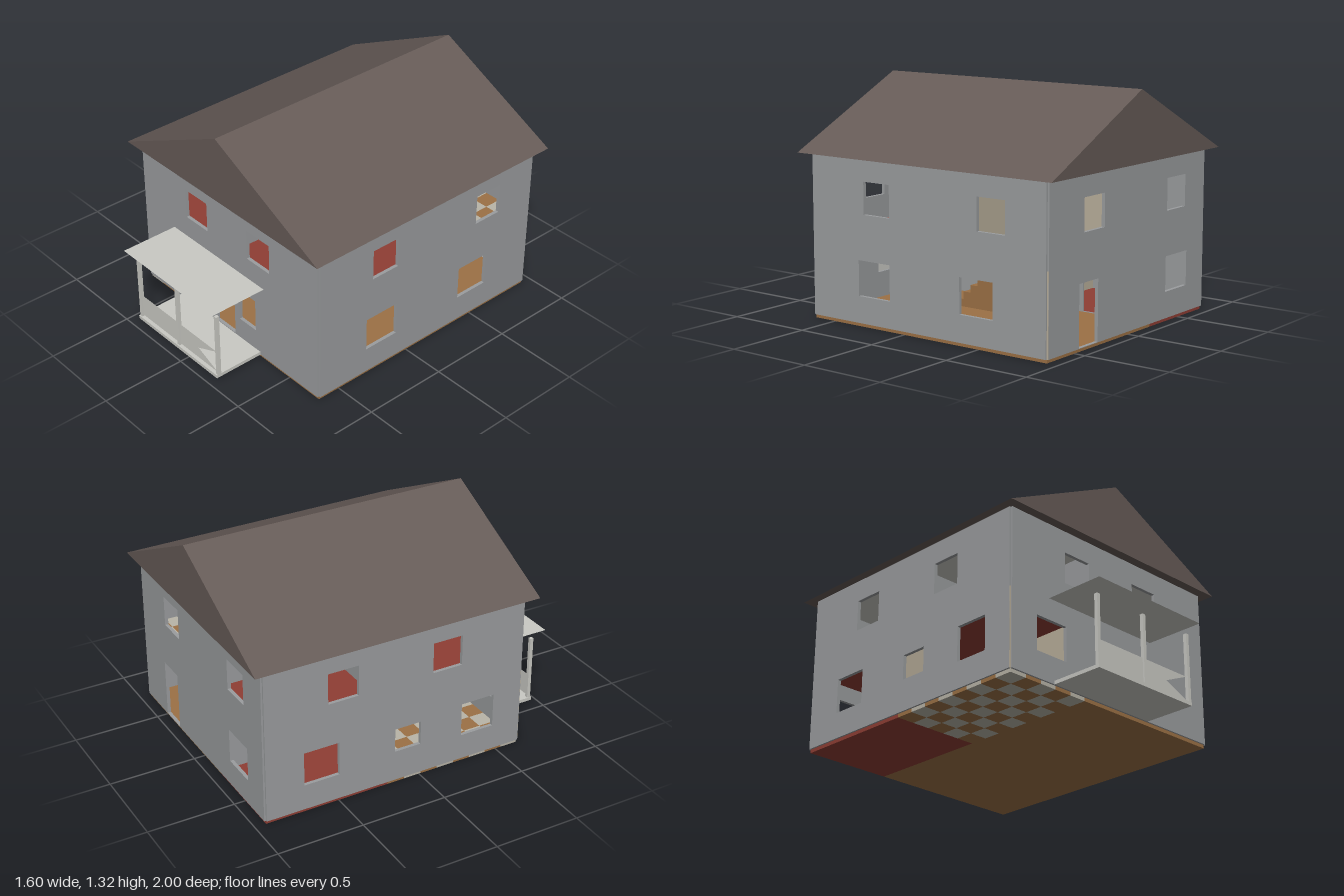
import * as THREE from 'three';

const mat = (name, color, side = THREE.FrontSide) => {
  const m = new THREE.MeshStandardMaterial({ color, side });
  m.name = name;
  return m;
};

export function createModel() {
  const grey = mat('wallGrey', 0x9b9d9f);
  const roofBrown = mat('roofBrown', 0x665b57);
  const pale = mat('porchPale', 0xcacac4, THREE.DoubleSide);
  const wood = mat('floorWood', 0x9c7145);
  const red = mat('carpetRed', 0x8f3e34);
  const cream = mat('roomCream', 0xbab09c);
  const tilePale = mat('tilePale', 0xb9b5a8);

  const model = new THREE.Group();
  model.name = 'house';
  const group = (name) => {
    const g = new THREE.Group();
    g.name = name;
    model.add(g);
    return g;
  };
  const add = (parent, name, geometry, material) => {
    const m = new THREE.Mesh(geometry, material);
    m.name = name;
    parent.add(m);
    return m;
  };
  // Box given by its limits on each axis
  const box = (parent, name, material, x0, x1, y0, y1, z0, z1) => {
    const g = new THREE.BoxGeometry(x1 - x0, y1 - y0, z1 - z0);
    g.translate((x0 + x1) / 2, (y0 + y1) / 2, (z0 + z1) / 2);
    return add(parent, name, g, material);
  };
  const polygon = (pts) => new THREE.Shape(pts.map(([x, y]) => new THREE.Vector2(x, y)));
  const rect = ([a0, a1, y0, y1]) => [[a0, y0], [a1, y0], [a1, y1], [a0, y1]];
  // Upright panel with rectangular openings; axis is the direction of its thickness
  const panel = (parent, name, material, axis, pos, thick, limits, openings = []) => {
    const shape = polygon(rect(limits));
    openings.forEach((o) => shape.holes.push(polygon(rect(o))));
    const g = new THREE.ExtrudeGeometry(shape, { depth: thick, bevelEnabled: false });
    if (axis === 'x') {
      g.rotateY(-Math.PI / 2);
      g.translate(pos + thick, 0, 0);
    } else g.translate(0, 0, pos);
    return add(parent, name, g, material);
  };
  // Checked floor of pale and wooden tiles
  const checker = (parent, x0, x1, y0, y1, z0, z1, nx, nz) => {
    const dx = (x1 - x0) / nx, dz = (z1 - z0) / nz;
    for (let i = 0; i < nx; i++) for (let j = 0; j < nz; j++) {
      box(parent, 'floorTile', (i + j) % 2 ? tilePale : wood,
        x0 + i * dx, x0 + (i + 1) * dx, y0, y1, z0 + j * dz, z0 + (j + 1) * dz);
    }
  };

  // Outer walls with window and door openings
  const walls = group('outerWalls');
  const low = [0.17, 0.368], high = [0.62, 0.8], top = 0.925;
  panel(walls, 'frontWall', grey, 'z', 0.63, 0.02, [-0.74, 0.74, 0.02, top], [
    [-0.355, -0.17, ...high], [0.17, 0.355, ...high],
    [-0.565, -0.35, ...low], [0.093, 0.23, ...low], [-0.115, 0.05, 0.045, 0.365],
  ]);
  panel(walls, 'backWall', grey, 'z', -0.945, 0.02, [-0.74, 0.74, 0.02, top], [
    [0.25, 0.435, ...high], [-0.54, -0.355, ...high],
    [-0.565, -0.35, ...low], [0.305, 0.475, 0.023, 0.36],
  ]);
  panel(walls, 'leftWall', grey, 'x', 0.73, 0.02, [-0.935, 0.64, 0.02, top], [
    [0.09, 0.27, ...high], [-0.68, -0.5, ...high],
    [0.09, 0.31, ...low], [-0.6, -0.385, ...low],
  ]);
  panel(walls, 'rightWall', grey, 'x', -0.75, 0.02, [-0.935, 0.64, 0.02, top], [
    [-0.565, -0.385, ...high], [0.07, 0.25, ...high],
    [-0.71, -0.5, ...low], [-0.16, 0, 0.2, 0.34], [0.26, 0.465, ...low],
  ]);
  // Cream wall ends showing in two corner notches
  box(walls, 'cornerStrip', cream, -0.749, -0.74, 0.02, 0.47, 0.64, 0.642);
  box(walls, 'cornerStrip', cream, 0.74, 0.742, 0.02, 0.47, -0.944, -0.935);

  // Gabled roof
  add(model, 'roof', new THREE.ExtrudeGeometry(
    polygon([[-0.8, 0.925], [0.8, 0.925], [0, 1.315]]),
    { depth: 1.705, bevelEnabled: false }).translate(0, 0, -1), roofBrown);
  box(model, 'ceiling', pale, -0.73, 0.73, 0.91, 0.92, -0.925, 0.63);

  // Ground floor: wooden hall, carpeted room and tiled kitchen
  const ground = group('groundFloor');
  box(ground, 'hallFloor', wood, -0.21, 0.74, 0, 0.022, -0.935, 0.64);
  box(ground, 'carpet', red, -0.74, -0.21, 0, 0.022, -0.935, -0.2);
  checker(ground, -0.74, -0.21, 0, 0.022, -0.2, 0.64, 5, 8);
  panel(ground, 'kitchenPartition', cream, 'z', -0.21, 0.02, [-0.73, -0.22, 0.022, 0.46],
    [[-0.545, -0.38, 0.025, 0.37]]);
  panel(ground, 'kitchenSideLining', cream, 'x', -0.22, 0.01, [-0.19, 0.63, 0.022, 0.46]);
  panel(ground, 'hallPartition', grey, 'x', -0.21, 0.01, [-0.925, 0.63, 0.022, 0.46],
    [[-0.65, -0.505, 0.025, 0.37]]);

  // Stairs rising towards the back
  const stairs = group('stairs');
  const steps = 10;
  for (let i = 0; i < steps; i++) {
    box(stairs, 'step', wood, -0.045, 0.11, 0.022, 0.022 + (i + 1) * 0.0435,
      0.15 - (i + 1) * 0.05, 0.15 - i * 0.05);
  }

  // Upper floor: carpet with a tiled bathroom
  const upper = group('upperFloor');
  box(upper, 'carpet', red, -0.73, 0.24, 0.46, 0.48, -0.925, 0.63);
  box(upper, 'carpet', red, 0.24, 0.73, 0.46, 0.48, -0.3, 0.63);
  checker(upper, 0.24, 0.73, 0.46, 0.48, -0.925, -0.3, 5, 6);
  panel(upper, 'bathroomFrontPartition', cream, 'z', -0.31, 0.02, [0.24, 0.73, 0.48, 0.91]);
  panel(upper, 'bathroomSidePartition', cream, 'x', 0.23, 0.02, [-0.925, -0.31, 0.48, 0.91],
    [[-0.62, -0.48, 0.485, 0.82]]);
  panel(upper, 'bedroomPartition', grey, 'x', -0.1, 0.02, [-0.925, 0.63, 0.48, 0.91]);
  panel(upper, 'bedroomCrossPartition', grey, 'z', -0.2, 0.02, [-0.73, 0.23, 0.48, 0.91]);

  // Porch with posts, thin canopy and front railing
  const porch = group('porch');
  box(porch, 'porchFloor', pale, -0.44, 0.265, 0.02, 0.04, 0.65, 0.955);
  for (const x of [-0.427, -0.083, 0.26]) {
    box(porch, 'post', pale, x - 0.01, x + 0.01, 0.04, 0.432, 0.928, 0.948);
  }
  const canopy = new THREE.PlaneGeometry(0.78, 0.35).rotateX(-Math.PI / 2);
  add(porch, 'canopy', canopy.translate(-0.085, 0.49, 0.825), pale);
  const rail = (name, pts) =>
    add(porch, name, new THREE.ShapeGeometry(polygon(pts)).translate(0, 0, 0.938), pale);
  rail('railingPanel', rect([-0.417, -0.093, 0.048, 0.185]));
  rail('notchedRailingPanel',
    [[-0.073, 0.048], [0.25, 0.048], [0.0885, 0.1165], [0.25, 0.185], [-0.073, 0.185]]);

  return model;
}
